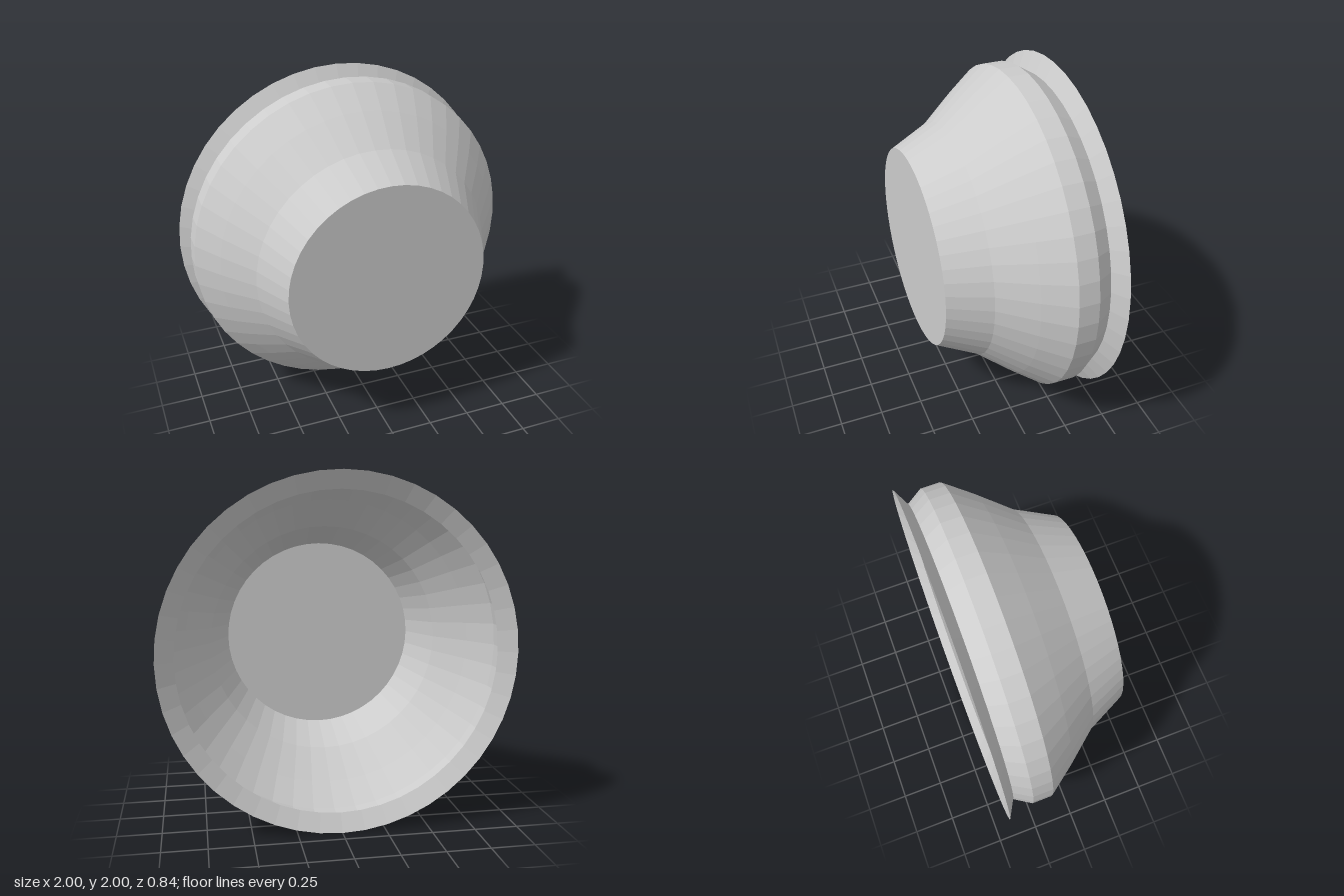
import * as THREE from 'three';

const SIDES = 48;

export function createModel() {
  const group = new THREE.Group();
  const grey = new THREE.MeshStandardMaterial({ color: 0xcccccc, side: THREE.DoubleSide, flatShading: true });
  grey.name = 'light grey';

  // Adds an open ring surface turned around the z axis from [radius, z] pairs, back to front
  const addTurned = (name, profile) => {
    const points = profile.map(([r, z]) => new THREE.Vector2(r, z));
    const geometry = new THREE.LatheGeometry(points, SIDES).rotateX(Math.PI / 2);
    const mesh = new THREE.Mesh(geometry, grey);
    mesh.name = name;
    mesh.position.y = 1;
    group.add(mesh);
  };

  // Flared lip around the open back
  addTurned('flaredRim', [[1, -0.42], [0.9, -0.365]]);
  // Shoulder and straight band in front of the neck
  addTurned('outerBand', [[0.9, -0.365], [0.96, -0.27], [0.96, -0.155]]);
  // Tapering bowl, steeper towards the front
  addTurned('bowl', [[0.96, -0.155], [0.845, 0], [0.69, 0.19], [0.577, 0.42]]);

  // Flat disc closing the front
  const disc = new THREE.Mesh(new THREE.CircleGeometry(0.577, SIDES), grey);
  disc.name = 'frontDisc';
  disc.position.set(0, 1, 0.42);
  group.add(disc);

  return group;
}
